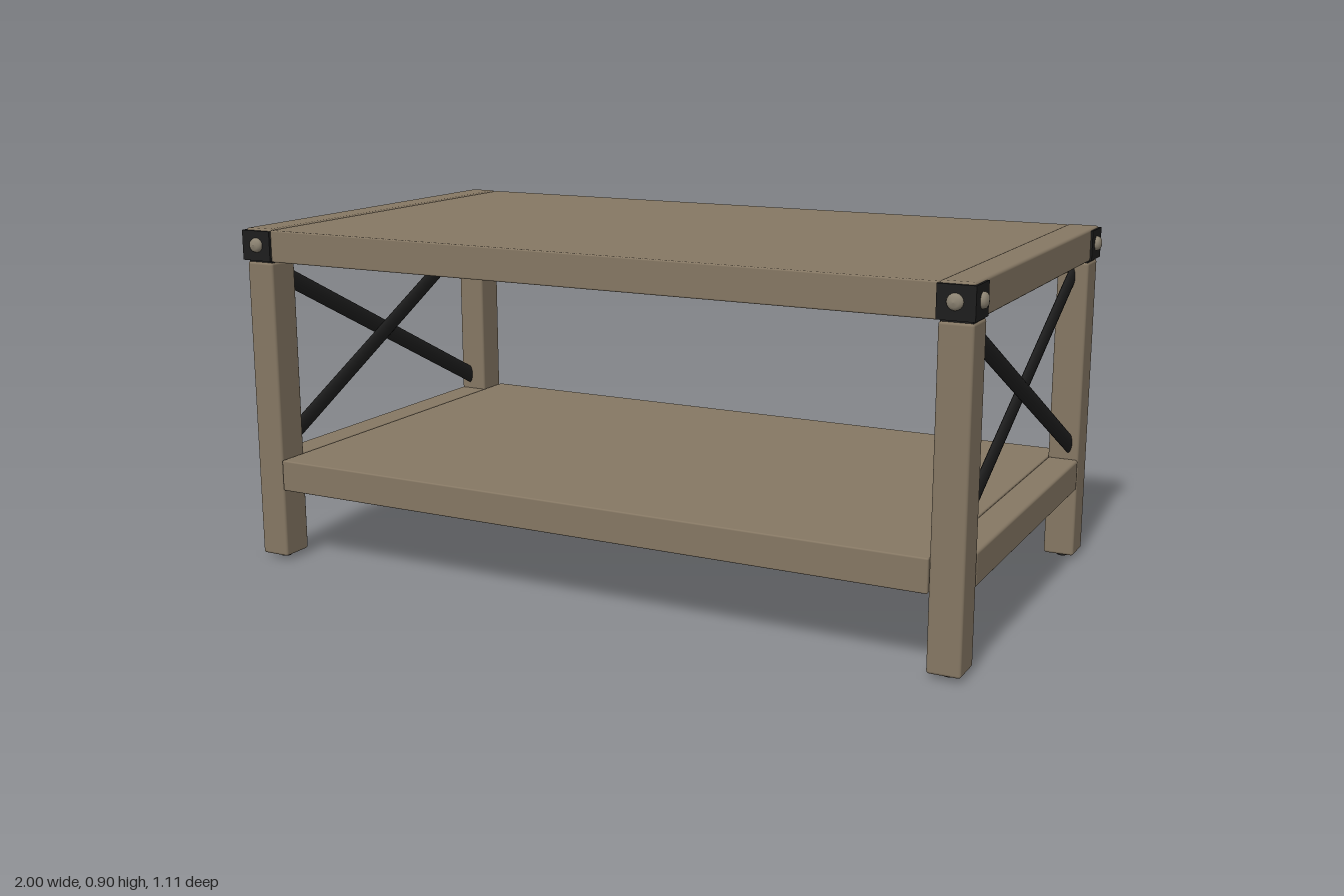
import * as THREE from 'three';
import { RoundedBoxGeometry } from 'three/addons/geometries/RoundedBoxGeometry.js';

export function createModel() {
  const group = new THREE.Group();
  const mat = (name, color) => {
    const m = new THREE.MeshStandardMaterial({ color });
    m.name = name;
    return m;
  };
  const wood = mat('weathered wood', 0x857763);
  const metal = mat('black metal', 0x1d1d1d);
  const steel = mat('bolt steel', 0x8c8372);

  const add = (name, geometry, material, x = 0, y = 0, z = 0) => {
    const mesh = new THREE.Mesh(geometry, material);
    mesh.name = name;
    mesh.position.set(x, y, z);
    group.add(mesh);
    return mesh;
  };
  // Softly rounded board given by its limits
  const board = (name, x0, x1, y0, y1, z0, z1, material = wood, r = 0.007) =>
    add(name, new RoundedBoxGeometry(x1 - x0, y1 - y0, z1 - z0, 2, r), material,
      (x0 + x1) / 2, (y0 + y1) / 2, (z0 + z1) / 2);
  const plate = (name, w, h, d, x, y, z) =>
    add(name, new THREE.BoxGeometry(w, h, d), metal, x, y, z);

  // Table top and lower shelf
  board('tabletop', -0.899, 0.899, 0.812, 0.895, -0.533, 0.533, wood, 0.004);
  board('shelf', -0.899, 0.899, 0.198, 0.281, -0.533, 0.533, wood, 0.004);

  // Domed bolt head, its axis along +y
  const dome = [[0.019, 0], [0.019, 0.003], [0.017, 0.008], [0.011, 0.012], [0, 0.014]]
    .map(([r, y]) => new THREE.Vector2(r, y));
  const boltGeo = new THREE.LatheGeometry(dome, 16);
  const footGeo = new THREE.CylinderGeometry(0.014, 0.014, 0.016, 16);

  for (const sx of [-1, 1]) {
    const x0 = sx > 0 ? 0.9 : -0.981;
    const x1 = x0 + 0.081;
    const xm = (x0 + x1) / 2;

    // End rails
    board('topEndRail', x0, x1, 0.812, 0.897, -0.53, 0.53);
    board('shelfEndRail', x0, x1, 0.198, 0.281, -0.442, 0.442);

    // Crossed flat braces with rounded faces
    for (const dir of [-1, 1]) {
      const brace = add(dir > 0 ? 'outerBrace' : 'innerBrace',
        new THREE.CylinderGeometry(0.024, 0.024, 1.01, 16), metal,
        sx * (dir > 0 ? 0.953 : 0.938), 0.547, 0);
      brace.scale.x = 0.42;
      brace.rotation.x = dir * Math.atan2(0.9, 0.455);
    }

    for (const sz of [-1, 1]) {
      const z0 = sz > 0 ? 0.44 : -0.53;
      const zm = z0 + 0.045;

      // Leg and its foot
      board('leg', x0, x1, 0.012, 0.809, z0, z0 + 0.09);
      add('foot', footGeo, metal, xm, 0.008, zm);

      // Corner bracket: two outer plates and a bottom plate
      plate('bracketSidePlate', 0.008, 0.078, 0.09, sx * 0.982, 0.853, sz * 0.494);
      plate('bracketEndPlate', 0.088, 0.078, 0.008, sx * 0.942, 0.853, sz * 0.535);
      plate('bracketBottomPlate', 0.074, 0.012, 0.08, xm, 0.809, zm);

      // Bolts on both outer faces
      const sideBolt = add('sideBolt', boltGeo, steel, sx * 0.986, 0.855, sz * 0.492);
      sideBolt.rotation.z = -sx * Math.PI / 2;
      const endBolt = add('endBolt', boltGeo, steel, sx * 0.94, 0.855, sz * 0.539);
      endBolt.rotation.x = sz * Math.PI / 2;
    }
  }
  return group;
}
